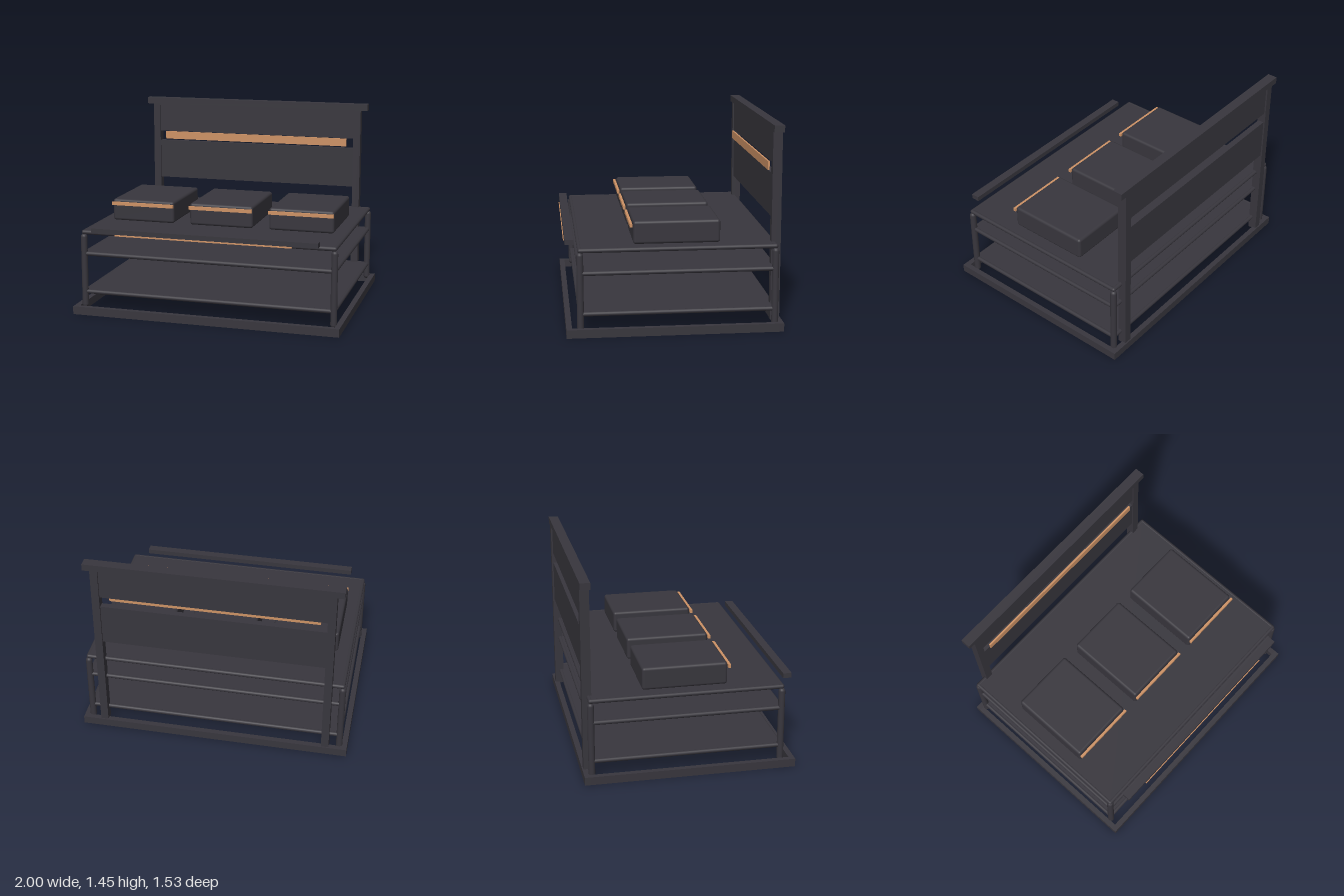
import * as THREE from 'three';
import { RoundedBoxGeometry } from 'three/addons/geometries/RoundedBoxGeometry.js';

export function createModel() {
  const model = new THREE.Group();
  model.name = 'displayRack';
  const charcoal = new THREE.MeshStandardMaterial({ color: 0x38363d });
  charcoal.name = 'charcoal';
  const copper = new THREE.MeshStandardMaterial({ color: 0xcd9265 });
  copper.name = 'copper';

  const add = (name, geometry, x, y, z, material = charcoal) => {
    const mesh = new THREE.Mesh(geometry, material);
    mesh.name = name;
    mesh.position.set(x, y, z);
    model.add(mesh);
    return mesh;
  };
  // Box given by its extents along each axis
  const box = (name, [x0, x1], [y0, y1], [z0, z1], material, radius = 0) => {
    const size = [x1 - x0, y1 - y0, z1 - z0];
    const geometry = radius
      ? new RoundedBoxGeometry(...size, 3, radius)
      : new THREE.BoxGeometry(...size);
    return add(name, geometry, (x0 + x1) / 2, (y0 + y1) / 2, (z0 + z1) / 2, material);
  };
  // Round-ended tube of a given total length, upright by default
  const tube = (name, radius, length, x, y, z) =>
    add(name, new THREE.CapsuleGeometry(radius, length - 2 * radius, 6, 16), x, y, z);

  // Base frame
  box('baseFront', [-1, 1], [0, 0.06], [0.72, 0.76]);
  box('baseBack', [-1, 1], [0, 0.06], [-0.766, -0.726]);
  for (const s of [-1, 1]) {
    box('baseSide', [s * 0.98 - 0.02, s * 0.98 + 0.02], [0, 0.06], [-0.726, 0.72]);
  }

  // Corner posts
  const postZ = [0.66, -0.708];
  const midZ = (postZ[0] + postZ[1]) / 2;
  for (const s of [-1, 1]) {
    for (const z of postZ) tube('cornerPost', 0.024, 0.56, s * 0.94, 0.315, z);
  }

  // Three decks, each a plate edged with round rails
  for (const y of [0.155, 0.445, 0.607]) {
    box('deckPlate', [-0.94, 0.94], [y - 0.013, y + 0.014], [postZ[1], postZ[0]]);
    for (const z of postZ) {
      tube('longRail', 0.016, 1.91, 0, y, z).rotation.z = Math.PI / 2;
    }
    for (const s of [-1, 1]) {
      tube('sideRail', 0.016, 1.4, s * 0.94, y, midZ).rotation.x = Math.PI / 2;
    }
  }

  // Cushioned blocks with a trim strip on the front
  for (const x of [-0.613, 0, 0.613]) {
    const span = [x - 0.244, x + 0.244];
    box('block', span, [0.622, 0.787], [-0.33, 0.283], charcoal, 0.02);
    box('blockTrim', span, [0.743, 0.768], [0.289, 0.307], copper);
  }

  // Front bar with a trim strip under its edge
  box('frontBar', [-0.84, 0.84], [0.626, 0.662], [0.698, 0.76]);
  box('frontBarTrim', [-0.656, 0.656], [0.616, 0.626], [0.757, 0.766], copper);

  // Tall back: uprights, two panels, cap and accent strip
  for (const s of [-1, 1]) {
    box('backUpright', [s * 0.838 - 0.028, s * 0.838 + 0.028], [0.05, 1.4], [-0.757, -0.69]);
  }
  box('lowerBackPanel', [-0.81, 0.81], [0.786, 1.095], [-0.745, -0.7]);
  box('upperBackPanel', [-0.81, 0.81], [1.175, 1.4], [-0.745, -0.7]);
  box('backCap', [-0.918, 0.918], [1.4, 1.45], [-0.76, -0.687]);
  box('backAccent', [-0.757, 0.757], [1.113, 1.175], [-0.69, -0.677], copper);

  return model;
}
